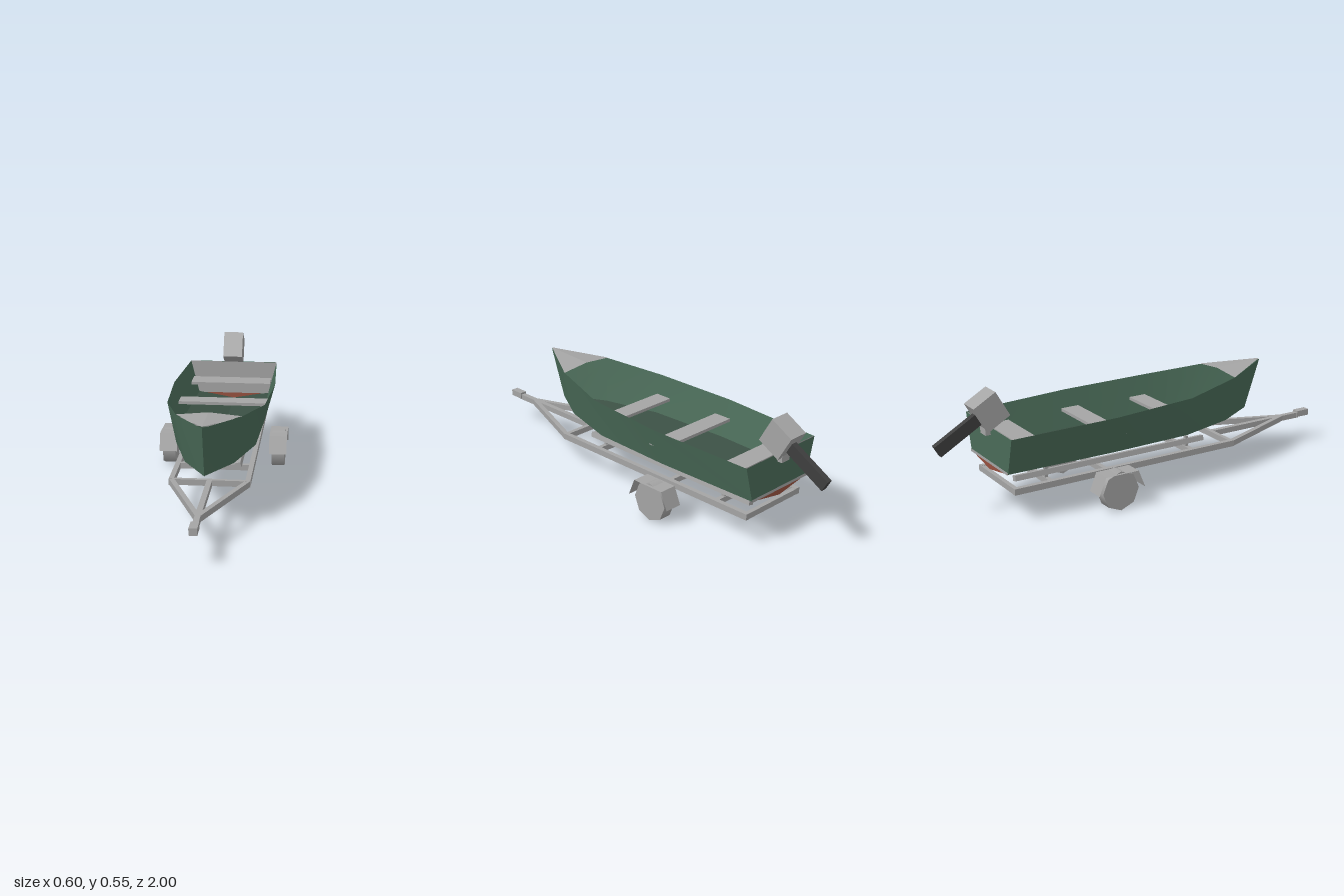
import * as THREE from 'three';

const material = (name, color, side = THREE.FrontSide) => {
  const m = new THREE.MeshStandardMaterial({ color, side });
  m.name = name;
  return m;
};

export function createModel() {
  const model = new THREE.Group();
  model.name = 'boatOnTrailer';

  const green = material('hull green', 0x4a6b58, THREE.DoubleSide);
  const floorGreen = material('floor green', 0x3a4f43);
  const grey = material('metal grey', 0xa4a4a4, THREE.DoubleSide);
  const dark = material('dark grey', 0x3e3e3e);
  const red = material('antifouling red', 0x96503f, THREE.DoubleSide);

  const add = (name, geometry, mat, parent = model) => {
    const mesh = new THREE.Mesh(geometry, mat);
    mesh.name = name;
    parent.add(mesh);
    return mesh;
  };
  const box = (name, size, pos, mat = grey, parent = model) => {
    const mesh = add(name, new THREE.BoxGeometry(...size), mat, parent);
    mesh.position.set(...pos);
    return mesh;
  };
  // Square bar between two points
  const bar = (name, a, b, w, h) => {
    const p = new THREE.Vector3(...a), q = new THREE.Vector3(...b);
    const mesh = box(name, [w, h, p.distanceTo(q)], p.clone().lerp(q, 0.5).toArray());
    mesh.lookAt(q);
    return mesh;
  };
  // Strip of quads between two rows of points
  const strip = (a, b) => {
    const n = a.length, index = [];
    for (let i = 0; i < n - 1; i++) index.push(i, i + 1, n + i, i + 1, n + i + 1, n + i);
    const g = new THREE.BufferGeometry();
    g.setAttribute('position', new THREE.Float32BufferAttribute([...a, ...b].flat(), 3));
    g.setIndex(index);
    g.computeVertexNormals();
    return g;
  };
  const plate = (name, pts, z, mat) => {
    const shape = new THREE.Shape(pts.map(([x, y]) => new THREE.Vector2(x, y)));
    add(name, new THREE.ShapeGeometry(shape), mat).position.z = z;
  };

  // Hull lines, stern to bow
  const sheer = [[0.22, 0.395, -0.75], [0.24, 0.408, -0.25], [0.216, 0.42, 0.15], [0.138, 0.448, 0.44], [0, 0.468, 0.69]];
  const chine = [[0.178, 0.23, -0.75], [0.193, 0.235, -0.25], [0.178, 0.235, 0.15], [0.105, 0.237, 0.42], [0, 0.24, 0.61]];
  const keel = [[0, 0.198, -0.75], [0, 0.194, -0.25], [0, 0.195, 0.15], [0, 0.205, 0.42], [0, 0.239, 0.61]];
  const mirror = (row) => row.map(([x, y, z]) => [-x, y, z]);
  const raise = (row) => row.map(([x, y, z]) => [x, y + 0.004, z]);
  const chineR = mirror(chine);
  add('leftHullSide', strip(sheer, chine), green);
  add('rightHullSide', strip(chineR, mirror(sheer)), green);
  add('leftHullBottom', strip(chine, keel), green);
  add('rightHullBottom', strip(keel, chineR), green);
  add('leftFloor', strip(raise(keel), raise(chine)), floorGreen);
  add('rightFloor', strip(raise(chineR), raise(keel)), floorGreen);

  // Transom with grey lining, trim strip and red lower part
  const transom = [[-0.22, 0.395], [-0.178, 0.23], [0.178, 0.23], [0.22, 0.395]];
  plate('transom', transom, -0.75, green);
  plate('transomLining', transom, -0.744, grey);
  plate('transomTrim', [[-0.179, 0.226], [0.179, 0.226], [0.181, 0.239], [-0.181, 0.239]], -0.753, grey);
  plate('transomBottom', [[-0.178, 0.23], [0, 0.198], [0.178, 0.23]], -0.75, red);

  // Bow deck with a raised centre line
  const tip = [0, 0.474, 0.69], ridge = [0, 0.463, 0.44];
  add('leftDeck', strip([ridge, tip], [[0.14, 0.45, 0.44], tip]).toNonIndexed(), grey);
  add('rightDeck', strip([[-0.14, 0.45, 0.44], tip], [ridge, tip]).toNonIndexed(), grey);

  // Bench seats: half width, centre z, depth
  for (const [hw, z, d] of [[0.19, 0.115, 0.085], [0.213, -0.237, 0.088], [0.197, -0.617, 0.118]])
    box('seat', [hw * 2, 0.014, d], [0, 0.323, z]);

  // Outboard motor tilted up
  const motor = new THREE.Group();
  motor.name = 'outboardMotor';
  motor.position.set(0, 0.466, -0.75);
  motor.rotation.x = -Math.PI / 6;
  model.add(motor);
  box('motorHead', [0.095, 0.13, 0.118], [0, 0, 0], grey, motor);
  box('motorLeg', [0.027, 0.055, 0.218], [0, -0.005, -0.167], dark, motor);
  box('motorClamp', [0.05, 0.05, 0.025], [0, 0.385, -0.762]);

  // Trailer frame
  box('coupler', [0.034, 0.03, 0.07], [0, 0.15, 0.965]);
  box('tongue', [0.024, 0.026, 0.53], [0, 0.143, 0.675]);
  for (const z of [0.41, 0.19, -0.27, -0.54, -0.71])
    box('crossbar', [0.34, 0.026, 0.02], [0, 0.143, z]);
  for (const s of [-1, 1]) {
    bar('drawbar', [0, 0.143, 0.84], [s * 0.163, 0.143, 0.415], 0.022, 0.026);
    box('sideRail', [0.022, 0.028, 1.14], [s * 0.164, 0.143, -0.15]);

    // Bunk on two posts
    box('bunk', [0.026, 0.024, 0.97], [s * 0.11, 0.179, -0.205]).rotation.z = s * 0.22;
    for (const z of [0.19, -0.54])
      box('bunkPost', [0.015, 0.055, 0.015], [s * 0.11, 0.177, z]);

    // Eight-sided wheel
    const tyre = new THREE.CylinderGeometry(0.09, 0.09, 0.06, 8).rotateZ(Math.PI / 2);
    add('wheel', tyre, grey).position.set(s * 0.26, 0.092, -0.27);

    // Thin bent mudguard
    const profile = [[0.093, -0.155], [0.173, -0.188], [0.173, -0.352], [0.093, -0.385]];
    const row = (x) => profile.map(([y, z]) => [s * x, y, z]);
    const inner = row(0.219), outer = row(0.302);
    const guard = (s > 0 ? strip(outer, inner) : strip(inner, outer)).toNonIndexed();
    guard.computeVertexNormals();
    add('mudguard', guard, grey);
  }
  return model;
}
